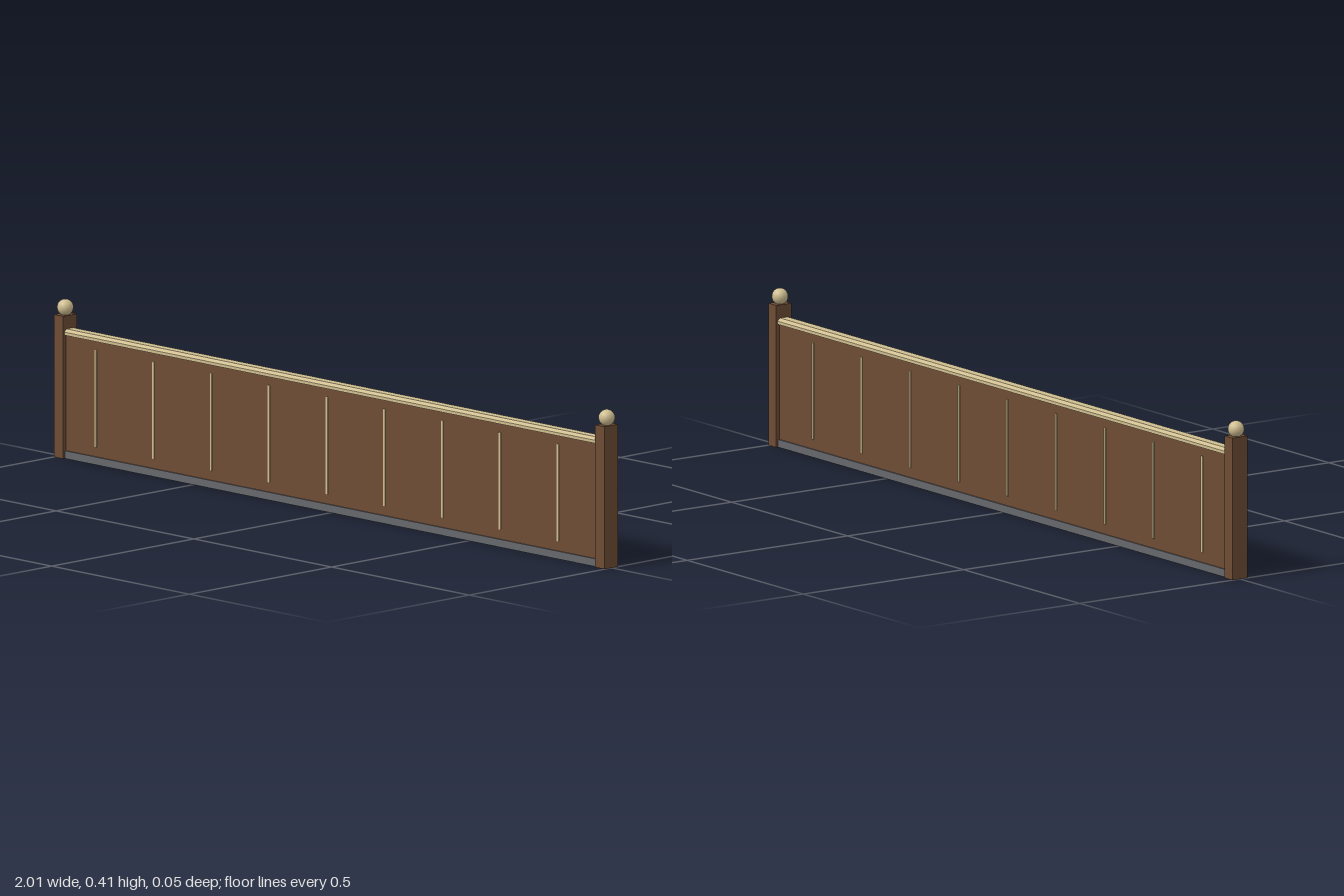
import * as THREE from 'three';

const makeMaterial = (name, color) => {
  const m = new THREE.MeshStandardMaterial({ color });
  m.name = name;
  return m;
};

export function createModel() {
  const wood = makeMaterial('brown wood', 0x6e4c35);
  const cream = makeMaterial('cream trim', 0xcfbe90);
  const stone = makeMaterial('grey base', 0x66676b);

  const fence = new THREE.Group();
  fence.name = 'fencePanel';

  const add = (name, geometry, material, x, y, z) => {
    const mesh = new THREE.Mesh(geometry, material);
    mesh.name = name;
    mesh.position.set(x, y, z);
    fence.add(mesh);
    return mesh;
  };

  const postWidth = 0.034;
  const span = 2 - 2 * postWidth; // clear length between the posts
  const panelDepth = 0.028;

  // Long wooden panel on its base strip
  add('panel', new THREE.BoxGeometry(span, 0.298, panelDepth), wood, 0, 0.169, 0);
  add('baseStrip', new THREE.BoxGeometry(span, 0.02, 0.036), stone, 0, 0.01, 0);

  // Top rail with chamfered upper edges
  const profile = new THREE.Shape([
    [-0.02, 0.318], [0.02, 0.318], [0.02, 0.326],
    [0.012, 0.333], [-0.012, 0.333], [-0.02, 0.326],
  ].map(([z, y]) => new THREE.Vector2(z, y)));
  const rail = new THREE.ExtrudeGeometry(profile, { depth: span, bevelEnabled: false });
  rail.translate(0, 0, -span / 2).rotateY(Math.PI / 2);
  add('topRail', rail, cream, 0, 0, 0);

  // Thin upright strips on both faces
  const strip = new THREE.BoxGeometry(0.007, 0.25, 0.003);
  for (let i = 0; i < 9; i++) {
    for (const side of [-1, 1]) {
      add('panelStrip', strip, cream, -0.857 + i * 0.2097, 0.17, side * (panelDepth / 2 + 0.001));
    }
  }

  // End posts with ball finials
  const post = new THREE.BoxGeometry(postWidth, 0.367, 0.048);
  const ball = new THREE.SphereGeometry(0.0212, 16, 12);
  for (const side of [-1, 1]) {
    const x = side * (1 - postWidth / 2);
    add('endPost', post, wood, x, 0.1835, 0);
    add('postBall', ball, cream, x, 0.385, 0);
  }

  return fence;
}
